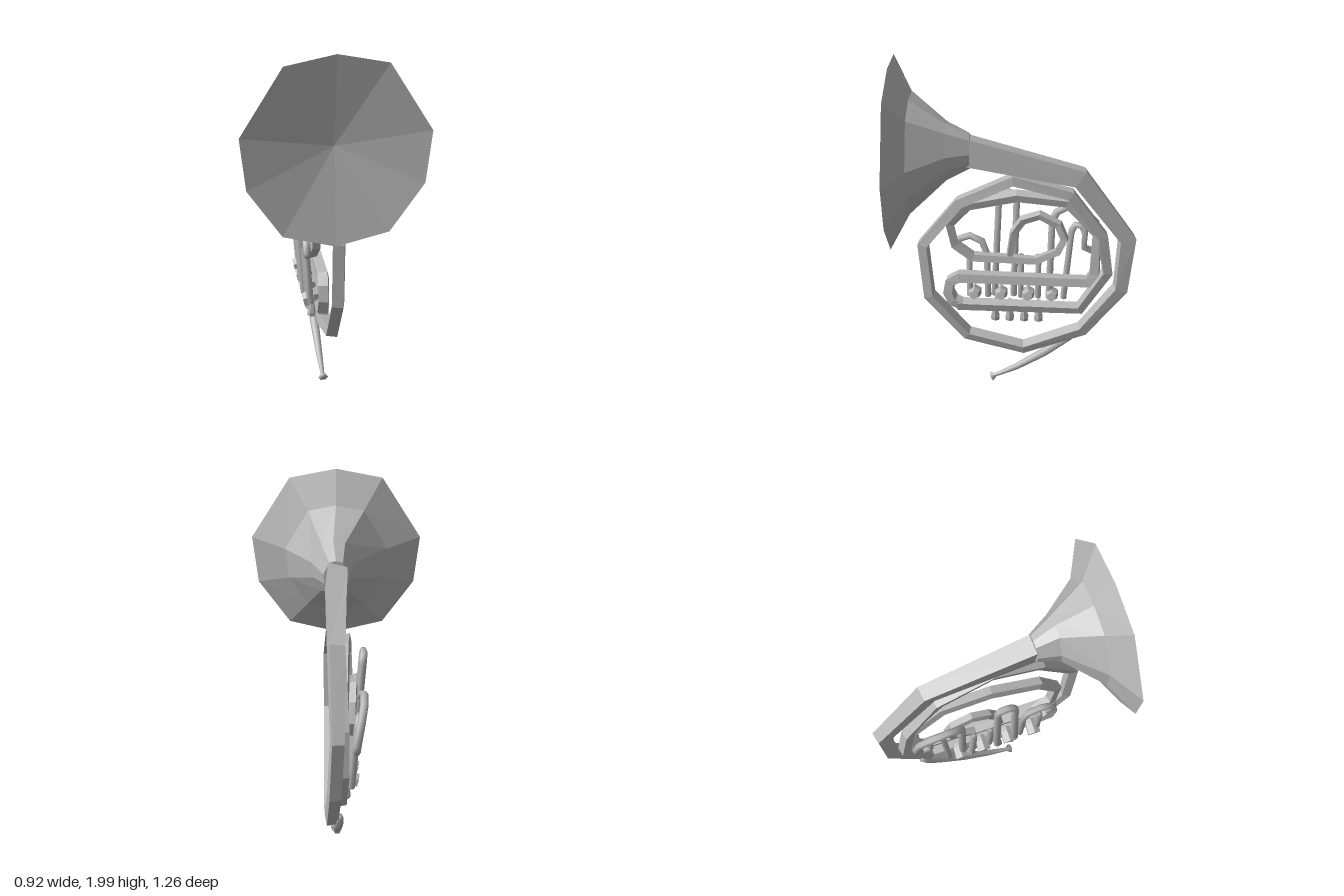
import * as THREE from 'three';

const silver = new THREE.MeshStandardMaterial({ color: 0xb8b8b8 });
silver.name = 'silver';

// regular cross-section with n corners
const polygon = (n, radius = 1, phase = 0) => Array.from({ length: n }, (_, i) => {
  const a = phase + (i / n) * Math.PI * 2;
  return [radius * Math.cos(a), radius * Math.sin(a)];
});

// Sweeps a profile through stations [x, y, z, radius sideways, radius in plane].
function loft(stations, profile, { axis = null, dent = 0, flat = true } = {}) {
  const n = profile.length, last = stations.length - 1, pos = [], idx = [];
  const centre = stations.map(s => new THREE.Vector3(s[0], s[1], s[2]));
  const tangent = i => {
    if (axis) return axis.clone();
    const a = centre[Math.max(i - 1, 0)], b = centre[Math.min(i + 1, last)], c = centre[i];
    const p = c.clone().sub(a).normalize(), q = b.clone().sub(c).normalize();
    return p.add(q).normalize();
  };
  stations.forEach((s, i) => {
    const t = tangent(i);
    const u = new THREE.Vector3(1, 0, 0).addScaledVector(t, -t.x).normalize();
    const v = t.clone().cross(u);
    for (const [a, b] of profile) {
      const p = centre[i].clone().addScaledVector(u, a * s[3]).addScaledVector(v, b * (s[4] ?? s[3]));
      pos.push(p.x, p.y, p.z);
    }
  });
  for (let i = 0; i < last; i++) for (let j = 0; j < n; j++) {
    const a = i * n + j, b = i * n + (j + 1) % n;
    idx.push(a, b, b + n, a, b + n, a + n);
  }
  // end caps; the first may be dented inward
  const c0 = centre[0].clone().addScaledVector(tangent(0), dent), c1 = centre[last];
  pos.push(c0.x, c0.y, c0.z, c1.x, c1.y, c1.z);
  const k = n * (last + 1);
  for (let j = 0; j < n; j++) {
    const j2 = (j + 1) % n;
    idx.push(k, j2, j, k + 1, last * n + j, last * n + j2);
  }
  let g = new THREE.BufferGeometry();
  g.setAttribute('position', new THREE.Float32BufferAttribute(pos, 3));
  g.setIndex(idx);
  if (flat) g = g.toNonIndexed();
  g.computeVertexNormals();
  return g;
}

export function createModel() {
  const horn = new THREE.Group();
  horn.name = 'horn';
  const add = (name, geometry) => {
    const m = new THREE.Mesh(geometry, silver);
    m.name = name;
    horn.add(m);
    return m;
  };
  const hex = polygon(6);
  const square = polygon(4, 1.2, 0.6); // slightly turned box section

  // flared bell with a shallow hollow mouth
  const half = [[0, -0.475], [0.25, -0.425], [0.46, -0.085], [0.43, 0.18], [0.26, 0.425], [0, 0.49]];
  const rim = [...half, ...half.slice(1, 5).reverse().map(([x, y]) => [-x, y])];
  add('bell', loft([
    [0, 1.525, 0.63, 1, 1],
    [0, 1.525, 0.535, 0.6, 0.64],
    [0.015, 1.55, 0.35, 0.25, 0.32],
    [0, 1.542, 0.235, 0.145, 0.195],
  ], rim, { axis: new THREE.Vector3(0, 0, -1), dent: 0.08 }));

  // main tube: tapers from the bell and spirals inward
  add('mainTube', loft([
    [0, 1.542, 0.25, 0.06, 0.09],
    [0, 1.40, -0.325, 0.046, 0.06],
    [-0.005, 1.02, -0.583, 0.037, 0.05],
    [0.01, 0.70, -0.56, 0.036, 0.041],
    [0.025, 0.42, -0.36, 0.035, 0.034],
    [0.033, 0.285, -0.04, 0.035, 0.03],
    [0.035, 0.375, 0.268, 0.035, 0.03],
    [0.035, 0.64, 0.47, 0.035, 0.03],
    [0.035, 0.98, 0.492, 0.035, 0.03],
    [0.02, 1.24, 0.295, 0.034, 0.03],
    [0, 1.375, 0.02, 0.034, 0.03],
    [-0.02, 1.28, -0.28, 0.032, 0.03],
    [-0.035, 1.01, -0.455, 0.032, 0.03],
    [-0.035, 0.775, -0.488, 0.032, 0.03],
    [-0.025, 0.525, -0.345, 0.03, 0.03],
    [-0.02, 0.535, 0.325, 0.03, 0.03],
  ], square));

  // lower slide, doubling back along the two straight bars and up into the inner ring
  add('lowerSlide', loft([
    [-0.02, 0.535, 0.30, 0.03],
    [-0.025, 0.56, 0.35, 0.032],
    [-0.025, 0.62, 0.372, 0.03],
    [-0.025, 0.69, 0.36, 0.03],
    [-0.02, 0.725, 0.31, 0.032],
    [-0.02, 0.715, -0.385, 0.032],
    [-0.025, 0.77, -0.42, 0.03],
    [-0.035, 1.03, -0.425, 0.026],
    [-0.04, 1.22, -0.265, 0.028],
    [-0.045, 1.245, 0, 0.028],
    [-0.055, 1.175, 0.26, 0.028],
    [-0.06, 1.05, 0.36, 0.026],
    [-0.065, 0.91, 0.335, 0.026],
    [-0.07, 0.825, 0.24, 0.026],
    [-0.07, 0.81, -0.10, 0.022],
    [-0.075, 0.87, -0.22, 0.022],
    [-0.08, 0.95, -0.255, 0.022],
    [-0.085, 1.04, -0.22, 0.022],
    [-0.09, 1.095, -0.12, 0.022],
    [-0.09, 1.06, -0.03, 0.022],
    [-0.085, 0.98, 0.02, 0.02],
    [-0.075, 0.80, 0.045, 0.018],
  ], square));

  // valve loops lean outward with height; points are [z, y, sideways shift]
  const lean = y => -0.08 - 0.075 * (y - 0.55);
  const valveLoop = (name, r, points) => add(name,
    loft(points.map(([z, y, dx = 0]) => [lean(y) + dx, y, z, r]), hex, { flat: false }));
  valveLoop('firstValveLoop', 0.019, [
    [0.16, 0.55], [0.165, 0.82], [0.19, 0.9], [0.255, 0.935], [0.31, 0.915], [0.335, 0.87], [0.3, 0.84]]);
  valveLoop('secondValveLoop', 0.02, [
    [0.125, 0.55, -0.015], [0.1, 1.15, -0.015], [0.085, 1.19, -0.015], [0.05, 1.2, -0.015],
    [0.015, 1.19, -0.015], [0.005, 1.15, -0.015], [0.02, 0.55, -0.015]]);
  valveLoop('thirdValveLoop', 0.021, [
    [-0.175, 0.55], [-0.185, 1.04], [-0.21, 1.09, -0.01], [-0.27, 1.12, -0.02], [-0.35, 1.1, -0.02],
    [-0.42, 1.03, -0.01], [-0.44, 0.92], [-0.41, 0.86]]);
  valveLoop('rearValveLoop', 0.019, [
    [-0.255, 0.55], [-0.29, 0.98], [-0.31, 1.02], [-0.345, 1.015], [-0.362, 0.97], [-0.36, 0.88], [-0.41, 0.86]]);
  for (const z of [0.26, -0.02, -0.115])
    valveLoop('valveTube', 0.018, [[z, 0.55], [z, 0.82]]);

  // rotary valves lying sideways, and finger levers
  for (const z of [0.235, 0.09, -0.06, -0.19])
    add('valve', loft([
      [-0.035, 0.585, z, 0.026], [-0.06, 0.58, z, 0.036], [-0.115, 0.555, z, 0.04],
    ].map(([x, y, zz, r]) => [x, y, zz, r]), hex, { axis: new THREE.Vector3(-0.97, -0.24, 0) }));
  for (const z of [0.12, 0.04, -0.04, -0.12])
    add('lever', loft([
      [-0.055, 0.55, z, 0.01], [-0.055, 0.49, z, 0.011],
      [-0.057, 0.425, z, 0.022, 0.027], [-0.057, 0.405, z, 0.02, 0.025],
    ], hex));

  // mouthpiece and curved lead pipe
  add('leadPipe', loft([
    [0.005, 0.03, 0.142, 0.027],
    [0.003, 0.04, 0.118, 0.011],
    [0, 0.105, 0, 0.018],
    [-0.005, 0.215, -0.155, 0.024],
    [-0.01, 0.33, -0.285, 0.026],
    [-0.015, 0.40, -0.36, 0.024],
    [-0.015, 0.46, -0.395, 0.022],
  ], hex, { flat: false }));

  return horn;
}
